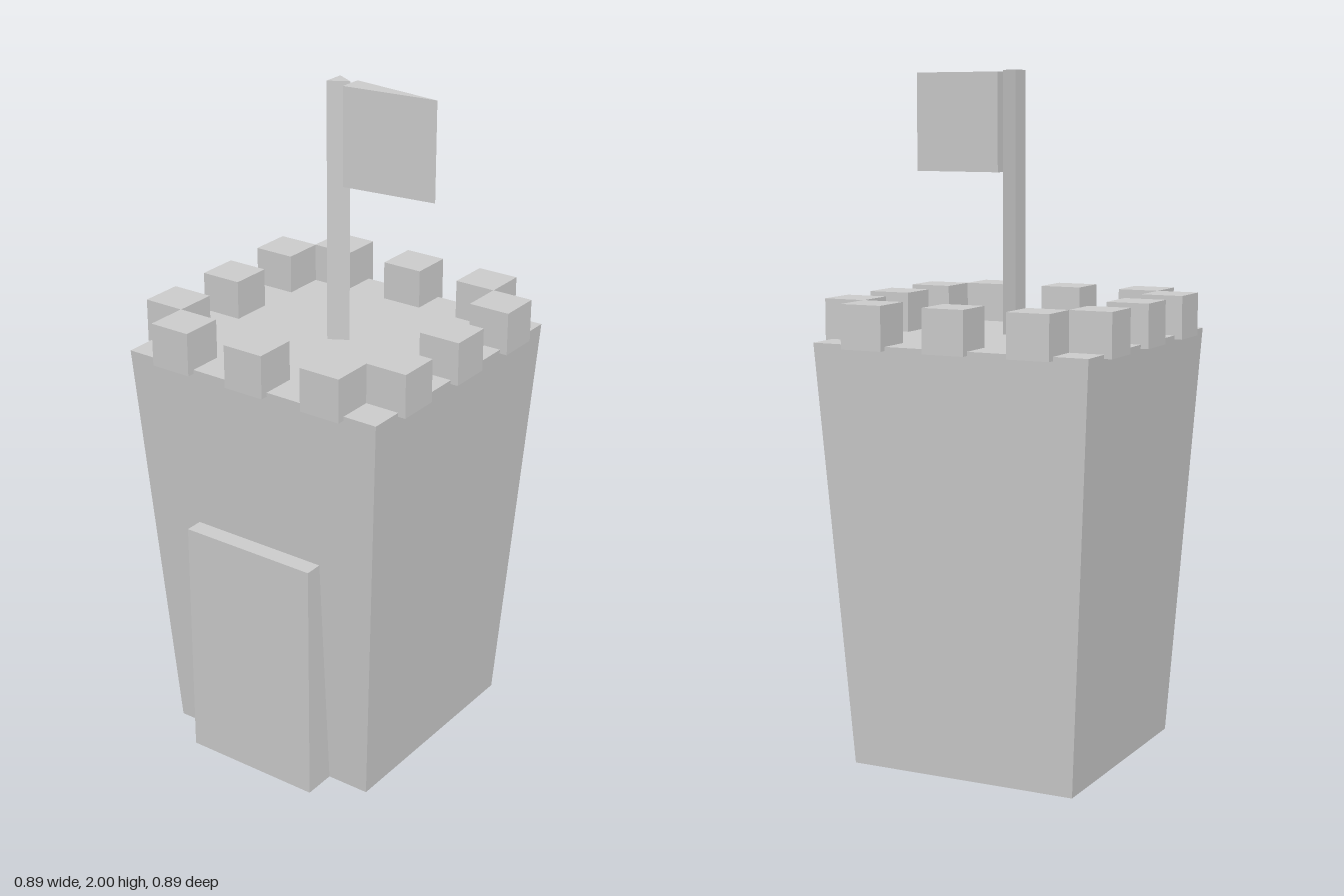
import * as THREE from 'three';

const material = new THREE.MeshStandardMaterial({ color: 0xcccccc, flatShading: true });

function addPart(parent, name, geometry, x, y, z) {
  const mesh = new THREE.Mesh(geometry, material);
  mesh.name = name;
  mesh.position.set(x, y, z);
  parent.add(mesh);
  return mesh;
}

// Upright three-sided prism with one edge pointing to +x
function wedge(backX, tipX, halfWidth, height) {
  const radius = (tipX - backX) / 1.5;
  const geometry = new THREE.CylinderGeometry(radius, radius, height, 3, 1, false, Math.PI / 2);
  geometry.scale(1, 1, halfWidth / (radius * Math.sin(Math.PI / 3)));
  geometry.translate(tipX - radius, height / 2, 0);
  return geometry;
}

export function createModel() {
  const model = new THREE.Group();
  model.name = 'tower';

  // Square body, widening towards the top
  const body = new THREE.CylinderGeometry(0.423 * Math.SQRT2, 0.347 * Math.SQRT2, 1.24, 4, 1);
  body.rotateY(Math.PI / 4);
  addPart(model, 'towerBody', body, 0, 0.62, 0);

  // Door slab on the front
  addPart(model, 'door', new THREE.BoxGeometry(0.43, 0.74, 0.127), 0, 0.37, 0.382);

  // Three battlement blocks along each of the four sides
  const battlements = new THREE.Group();
  battlements.name = 'battlements';
  const block = new THREE.BoxGeometry(0.127, 0.127, 0.127);
  for (let side = 0; side < 4; side++) {
    const row = new THREE.Group();
    row.name = 'battlementRow';
    row.rotation.y = (side * Math.PI) / 2;
    for (const x of [-0.256, 0, 0.256]) addPart(row, 'battlement', block, x, 1.292, 0.382);
    battlements.add(row);
  }
  model.add(battlements);

  // Flagpole and tapering flag
  addPart(model, 'flagpole', wedge(-0.019, 0.037, 0.032, 0.77), 0, 1.23, 0);
  addPart(model, 'flag', wedge(0.037, 0.318, 0.034, 0.285), 0, 1.71, 0);

  return model;
}
